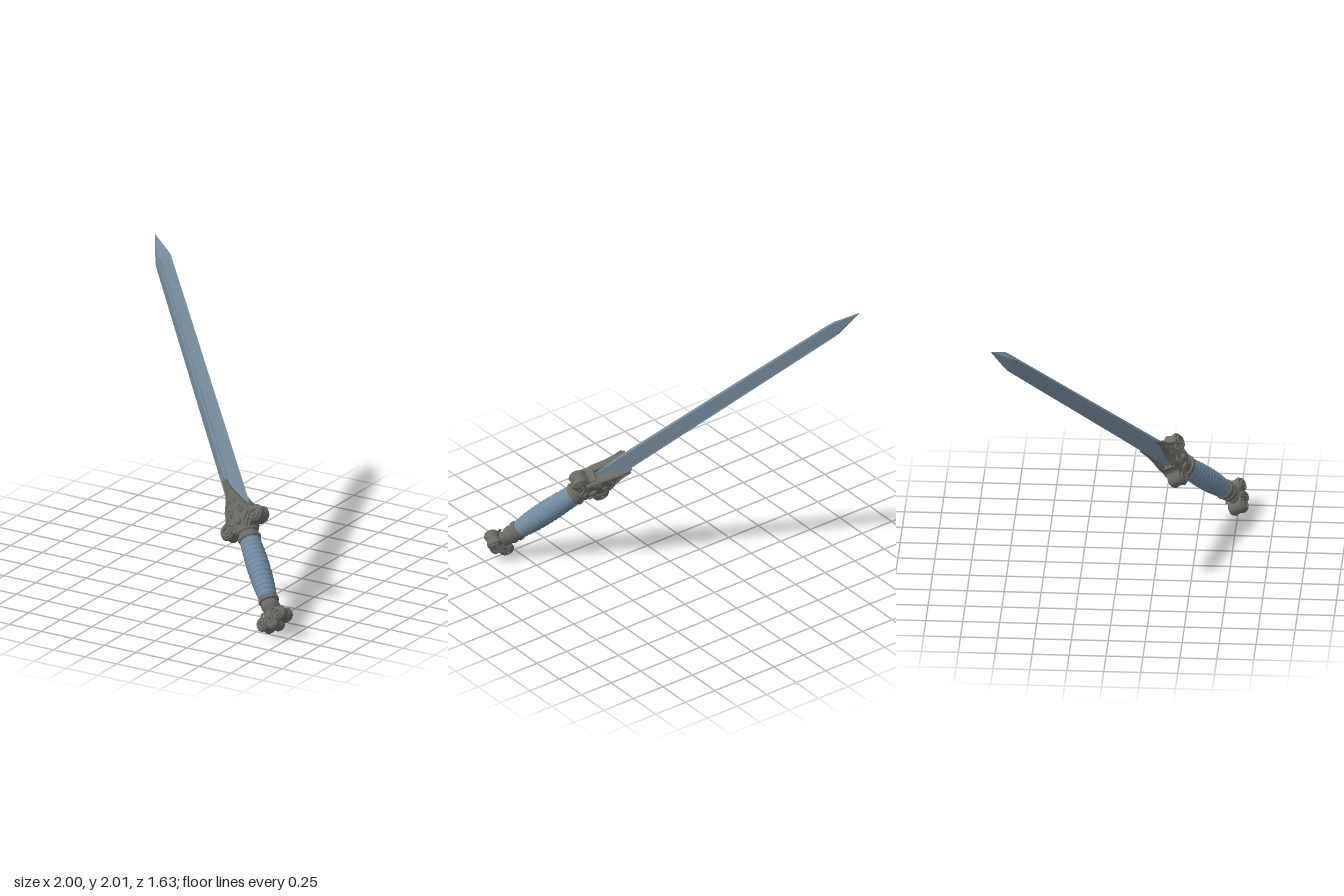
import * as THREE from 'three';
import { toCreasedNormals } from 'three/addons/utils/BufferGeometryUtils.js';

const material = (name, color) => {
  const m = new THREE.MeshStandardMaterial({ color });
  m.name = name;
  return m;
};

export function createModel() {
  const steel = material('blue steel', 0x758a9c);
  const leather = material('blue grip wrap', 0x718ba1);
  const iron = material('dark iron', 0x6d6b65);

  // Sword space: tip at the origin, sword runs down -y, flat faces along +-z
  const sword = new THREE.Group();
  sword.name = 'sword';
  const add = (name, geometry, mat, x = 0, y = 0, z = 0) => {
    const mesh = new THREE.Mesh(geometry, mat);
    mesh.name = name;
    mesh.position.set(x, y, z);
    sword.add(mesh);
    return mesh;
  };

  // Blade: diamond section with a narrow fuller on both faces
  // Each station: distance from tip, half width, half thickness, fuller half width, fuller depth
  const stations = [
    [0, 0, 0, 0, 0],
    [0.2, 0.071, 0.045, 0.006, 0],
    [0.25, 0.072, 0.046, 0.012, 0.012],
    [2.32, 0.088, 0.058, 0.016, 0.014],
  ];
  const rings = stations.map(([s, w, t, g, d]) =>
    [[w, 0], [g, t], [0, t - d], [-g, t], [-w, 0], [-g, -t], [0, d - t], [g, -t]]
      .map(([x, z]) => [x, -s, z]));
  const verts = [];
  for (let j = 0; j < rings.length - 1; j++) {
    for (let i = 0; i < 8; i++) {
      const k = (i + 1) % 8;
      const [a, b, c, d] = [rings[j][i], rings[j][k], rings[j + 1][i], rings[j + 1][k]];
      if (j > 0) verts.push(...a, ...b, ...c);
      verts.push(...b, ...d, ...c);
    }
  }
  const bladeGeo = new THREE.BufferGeometry();
  bladeGeo.setAttribute('position', new THREE.Float32BufferAttribute(verts, 3));
  bladeGeo.computeVertexNormals();
  add('blade', bladeGeo, steel);

  // Turned parts, profile given from the bottom up as [radius, y]
  const lathe = (name, profile, mat) => add(name, toCreasedNormals(
    new THREE.LatheGeometry(profile.map(([r, y]) => new THREE.Vector2(r, y)), 28).toNonIndexed(), 0.7), mat);

  // Grip: swelling handle with wrapped ridges
  const wraps = 15, top = -2.43, bottom = -2.95;
  const grip = [];
  for (let i = 0; i <= wraps * 4; i++) {
    const u = i / (wraps * 4);
    const swell = 0.056 + 0.012 * u + 0.017 * Math.sin(Math.PI * Math.pow(u, 0.85));
    const ridge = 0.005 * Math.abs(Math.sin(Math.PI * u * wraps));
    grip.push([swell + ridge - 0.003, bottom + (top - bottom) * u]);
  }
  lathe('grip', grip, leather);

  // Collars at both ends of the grip
  lathe('upperCollar', [[0.06, -2.46], [0.076, -2.455], [0.081, -2.44], [0.076, -2.425], [0.066, -2.42],
    [0.066, -2.405], [0.075, -2.395], [0.075, -2.38], [0.06, -2.36], [0.05, -2.33]], iron);
  lathe('lowerCollar', [[0.04, -3.04], [0.056, -3.01], [0.064, -2.99], [0.064, -2.975], [0.058, -2.97],
    [0.058, -2.955], [0.069, -2.948], [0.071, -2.932], [0.066, -2.92], [0.05, -2.915]], iron);

  const tube = (name, points, radius, segments = 40) => add(name, new THREE.TubeGeometry(
    new THREE.CatmullRomCurve3(points), segments, radius, 8), iron);

  // Raised spiral; side mirrors in x, face mirrors in z
  const spiral = (name, cx, cy, z, r0, r1, turns, start, side, thick) => {
    const pts = [];
    for (let i = 0; i <= 28; i++) {
      const u = i / 28, a = start + u * turns * Math.PI * 2, r = r0 + (r1 - r0) * u;
      pts.push(new THREE.Vector3(side * (cx + r * Math.cos(a)), cy + r * Math.sin(a), z));
    }
    tube(name, pts, thick, 56);
  };

  // Scroll lobe: thick rounded drum whose axis follows z
  const lobe = (name, x, y, r, half) => {
    const b = half * 0.35;
    const profile = [[0.001, -half + 0.01], [r * 0.7, -half + 0.008], [r * 0.8, -half], [r - 0.006, -half + b * 0.5],
      [r, -half + b], [r - 0.008, -0.006], [r - 0.008, 0.006], [r, half - b], [r - 0.006, half - b * 0.5],
      [r * 0.8, half], [r * 0.7, half - 0.008], [0.001, half - 0.01]];
    const geo = new THREE.LatheGeometry(profile.map(p => new THREE.Vector2(...p)), 24);
    add(name, geo, iron, x, y, 0).rotation.x = Math.PI / 2;
  };

  // Guard core between the scrolls
  const core = new THREE.Shape();
  core.moveTo(-0.055, -2.39);
  core.quadraticCurveTo(-0.08, -2.34, -0.13, -2.35);
  core.lineTo(-0.13, -2.27);
  core.quadraticCurveTo(-0.1, -2.27, -0.09, -2.22);
  core.lineTo(0.09, -2.22);
  core.quadraticCurveTo(0.1, -2.27, 0.13, -2.27);
  core.lineTo(0.13, -2.35);
  core.quadraticCurveTo(0.08, -2.34, 0.055, -2.39);
  const coreGeo = new THREE.ExtrudeGeometry(core,
    { depth: 0.08, bevelEnabled: true, bevelSize: 0.006, bevelThickness: 0.01, bevelSegments: 2, curveSegments: 8 });
  add('guardCore', toCreasedNormals(coreGeo.translate(0, 0, -0.04), 0.6), iron);

  // Pointed cheek plate over each face of the blade, flaring out at its tip
  const flare = y => 0.016 * Math.pow(Math.max(0, (y + 2.3) / 0.31), 2);
  const cheek = new THREE.Shape();
  cheek.moveTo(-0.05, -2.38);
  cheek.quadraticCurveTo(-0.07, -2.33, -0.115, -2.3);
  cheek.quadraticCurveTo(-0.09, -2.25, -0.082, -2.21);
  cheek.quadraticCurveTo(-0.035, -2.13, 0, -1.99);
  cheek.quadraticCurveTo(0.035, -2.13, 0.082, -2.21);
  cheek.quadraticCurveTo(0.09, -2.25, 0.115, -2.3);
  cheek.quadraticCurveTo(0.07, -2.33, 0.05, -2.38);
  for (const face of [1, -1]) {
    const geo = new THREE.ExtrudeGeometry(cheek,
      { depth: 0.036, bevelEnabled: true, bevelSize: 0.004, bevelThickness: 0.005, bevelSegments: 2, curveSegments: 10 });
    geo.translate(0, 0, 0.026);
    const p = geo.attributes.position;
    for (let i = 0; i < p.count; i++) p.setZ(i, p.getZ(i) + flare(p.getY(i)));
    const plate = add('guardCheek', toCreasedNormals(geo, 0.6), iron);
    if (face < 0) plate.rotation.y = Math.PI;

    for (const side of [1, -1]) {
      // Raised rim and scrollwork on the cheek
      const rim = [[0.006, -2.0], [0.02, -2.08], [0.044, -2.15], [0.076, -2.215], [0.085, -2.26], [0.105, -2.295]]
        .map(([x, y]) => new THREE.Vector3(side * x, y, face * (0.068 + flare(y))));
      tube('cheekRim', rim, 0.009);
      spiral('cheekScroll', 0.042, -2.235, face * 0.071, 0.03, 0.006, 1.5, -1.8, side, 0.008);
      spiral('cheekCurl', 0.018, -2.155, face * 0.072, 0.015, 0.004, 1.2, -2.2, side, 0.006);
      spiral('guardScroll', 0.13, -2.322, face * 0.05, 0.047, 0.008, 1.7, 2.2, side, 0.011);
      tube('guardVine', [[0.03, -2.37], [0.045, -2.33], [0.075, -2.305], [0.1, -2.285]]
        .map(([x, y]) => new THREE.Vector3(side * x, y, face * 0.068)), 0.011);
      // Pommel scrollwork
      spiral('pommelScroll', 0.076, -3.092, face * 0.054, 0.04, 0.007, 1.6, 2.0, side, 0.009);
      tube('pommelVine', [[0.012, -3.13], [0.02, -3.08], [0.035, -3.04], [0.06, -3.04]]
        .map(([x, y]) => new THREE.Vector3(side * x, y, face * 0.054)), 0.009);
    }
    // Small bosses in the middle of guard and pommel
    const boss = new THREE.SphereGeometry(0.024, 16, 10).scale(1, 1.3, 0.8);
    add('guardBoss', boss, iron, 0, -2.315, face * 0.07);
    add('pommelBoss', boss.clone().scale(0.8, 0.7, 0.8), iron, 0, -3.075, face * 0.054);
    spiral('pommelEndScroll', 0, -3.128, face * 0.05, 0.032, 0.006, 1.4, 1.57, face, 0.008);
  }

  // Scroll drums of the guard and the three-lobed pommel
  for (const side of [1, -1]) {
    lobe('guardLobe', side * 0.13, -2.322, 0.062, 0.052);
    lobe('pommelLobe', side * 0.076, -3.092, 0.054, 0.055);
  }
  lobe('pommelEndLobe', 0, -3.125, 0.046, 0.05);
  add('pommelCore', new THREE.SphereGeometry(0.06, 20, 14).scale(1.15, 1, 0.9), iron, 0, -3.06, 0);

  // Lay the sword along its diagonal
  const along = new THREE.Vector3(-0.61, 0.613, -0.502).normalize();
  const across = new THREE.Vector3(0.757, 0.637, -0.141);
  across.addScaledVector(along, -across.dot(along)).normalize();
  const normal = new THREE.Vector3().crossVectors(across, along);
  sword.quaternion.setFromRotationMatrix(new THREE.Matrix4().makeBasis(across, along, normal));
  sword.position.set(-1, 2, -0.81);

  const model = new THREE.Group();
  model.name = 'model';
  model.add(sword);
  return model;
}
